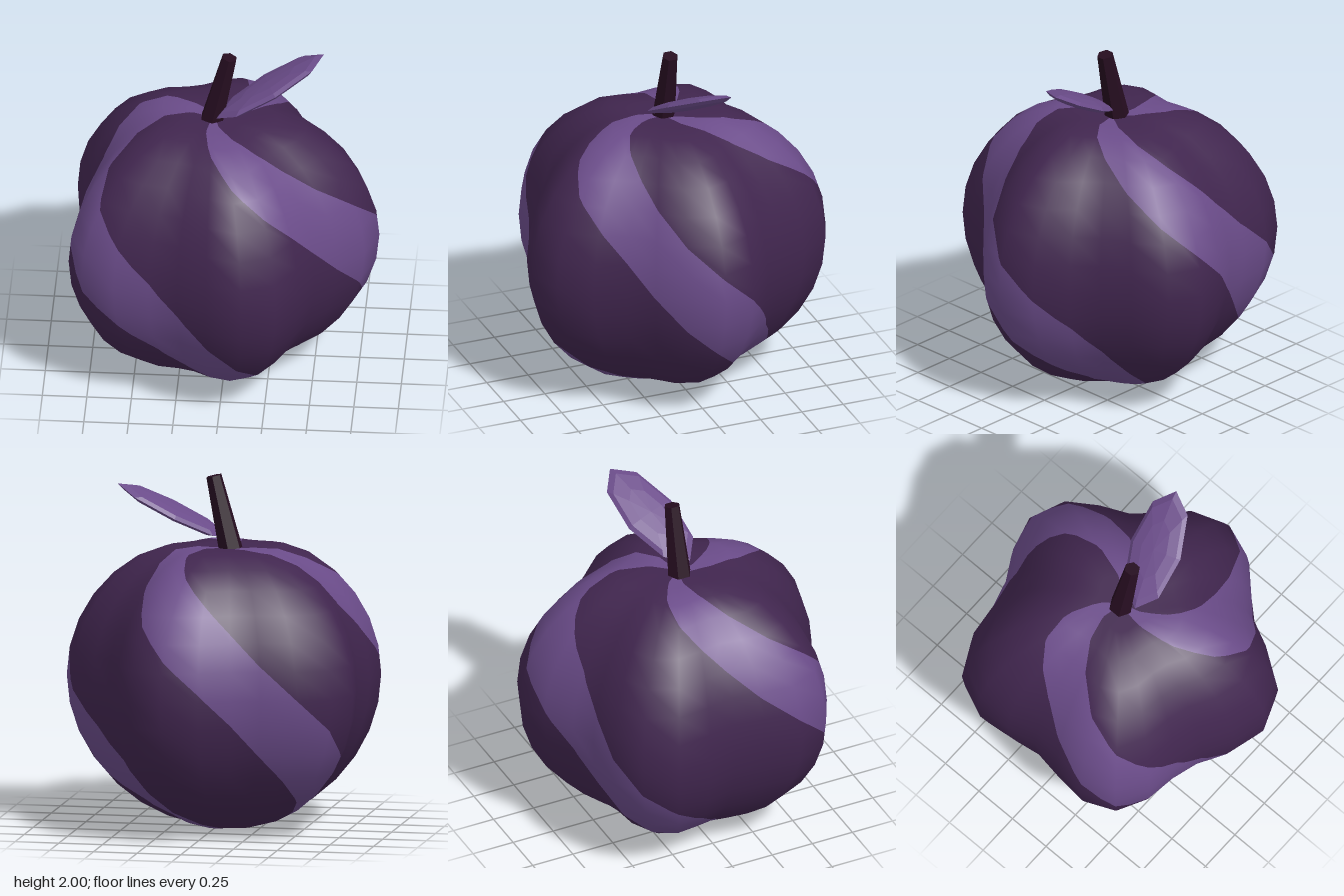
import * as THREE from 'three';

const CENTER_X = -0.06;
const RADIUS = 0.835;
const LOBE = 0.085;
const SEGMENTS = 28;
const RINGS = 16;

const material = (name, color) => {
  const m = new THREE.MeshStandardMaterial({ color });
  m.name = name;
  return m;
};

// Five-lobed sphere with a shallow dimple at the top
function fruitSurface() {
  const geo = new THREE.SphereGeometry(1, SEGMENTS, RINGS);
  const pos = geo.attributes.position;
  for (let i = 0; i < pos.count; i++) {
    const x = pos.getX(i), y = pos.getY(i), z = pos.getZ(i);
    const r = RADIUS + LOBE * Math.cos(5 * Math.atan2(z, x));
    const flat = RADIUS * Math.hypot(x, z);
    const dimple = y > 0 ? 0.088 * Math.exp(-14.6 * flat * flat) : 0;
    pos.setXYZ(i, CENTER_X + r * x, RADIUS * (1 + y) - dimple, r * z);
  }
  geo.computeVertexNormals();

  // Smooth the normals over the seam and the poles
  const normal = geo.attributes.normal;
  const a = new THREE.Vector3(), b = new THREE.Vector3();
  for (let row = 0; row <= RINGS; row++) {
    const first = row * (SEGMENTS + 1), last = first + SEGMENTS;
    if (row === 0 || row === RINGS) {
      for (let i = first; i <= last; i++) normal.setXYZ(i, 0, row === 0 ? 1 : -1, 0);
      continue;
    }
    a.fromBufferAttribute(normal, first).add(b.fromBufferAttribute(normal, last)).normalize();
    normal.setXYZ(first, a.x, a.y, a.z);
    normal.setXYZ(last, a.x, a.y, a.z);
  }
  return geo;
}

// Keep the part of a polygon where sign * (spiral - limit) >= 0;
// each corner is [x, y, z, nx, ny, nz, spiral]
function clip(poly, limit, sign) {
  const out = [];
  poly.forEach((p, i) => {
    const q = poly[(i + 1) % poly.length];
    const dp = sign * (p[6] - limit), dq = sign * (q[6] - limit);
    if (dp >= 0) out.push(p);
    if (dp * dq < 0) {
      const t = dp / (dp - dq);
      out.push(p.map((value, k) => value + (q[k] - value) * t));
    }
  });
  return out;
}

// Cut the bands [start, start + width], repeated every 120 degrees, out of the surface
function spiralBands(surface, start, width) {
  const { position, normal, uv } = surface.attributes;
  const index = surface.index;
  const points = [], normals = [];
  const corner = (i) => [
    position.getX(i), position.getY(i), position.getZ(i),
    normal.getX(i), normal.getY(i), normal.getZ(i),
    180 - 360 * uv.getX(i) + 180 * (1 - uv.getY(i)),
  ];
  for (let t = 0; t < index.count; t += 3) {
    const tri = [0, 1, 2].map((k) => corner(index.getX(t + k)));
    for (let lo = start - 480; lo < 400; lo += 120) {
      const poly = clip(clip(tri, lo, 1), lo + width, -1);
      for (let k = 1; k + 1 < poly.length; k++) {
        for (const p of [poly[0], poly[k], poly[k + 1]]) {
          points.push(p[0], p[1], p[2]);
          normals.push(p[3], p[4], p[5]);
        }
      }
    }
  }
  const geo = new THREE.BufferGeometry();
  geo.setAttribute('position', new THREE.Float32BufferAttribute(points, 3));
  geo.setAttribute('normal', new THREE.Float32BufferAttribute(normals, 3));
  return geo;
}

export function createModel() {
  const group = new THREE.Group();
  group.name = 'stripedFruit';
  const skin = material('darkPurpleSkin', 0x41264f);
  const light = material('lightPurple', 0x6b4c8a);
  const bark = material('darkStem', 0x260d20);

  const add = (name, geo, mat) => {
    const mesh = new THREE.Mesh(geo, mat);
    mesh.name = name;
    group.add(mesh);
    return mesh;
  };

  // Fruit body: three spiral stripes and the skin between them
  const surface = fruitSurface();
  add('spiralStripes', spiralBands(surface, 81, 36), light);
  add('fruitSkin', spiralBands(surface, 117, 84), skin);

  // Leaning six-sided stem
  const base = new THREE.Vector3(-0.08, 1.57, 0);
  const tip = new THREE.Vector3(0.018, 1.991, 0);
  const axis = tip.clone().sub(base);
  const stemGeo = new THREE.CylinderGeometry(0.045, 0.07, axis.length(), 6).toNonIndexed();
  stemGeo.computeVertexNormals();
  const stem = add('stem', stemGeo, bark);
  stem.position.copy(base).add(tip).multiplyScalar(0.5);
  stem.quaternion.setFromUnitVectors(new THREE.Vector3(0, 1, 0), axis.normalize());

  // Flat faceted leaf rising from the foot of the stem
  const along = new THREE.Vector3(0.295, 0.16, -0.105).normalize();
  const across = new THREE.Vector3(0.045, 0.03, 0.145);
  across.addScaledVector(along, -across.dot(along)).normalize();
  const up = new THREE.Vector3().crossVectors(across, along);
  const leafGeo = new THREE.SphereGeometry(1, 8, 6).toNonIndexed();
  leafGeo.scale(0.352, 0.035, 0.157);
  leafGeo.computeVertexNormals();
  const leaf = add('leaf', leafGeo, light);
  leaf.quaternion.setFromRotationMatrix(new THREE.Matrix4().makeBasis(along, up, across));
  leaf.position.set(0.245, 1.79, -0.025);

  return group;
}
